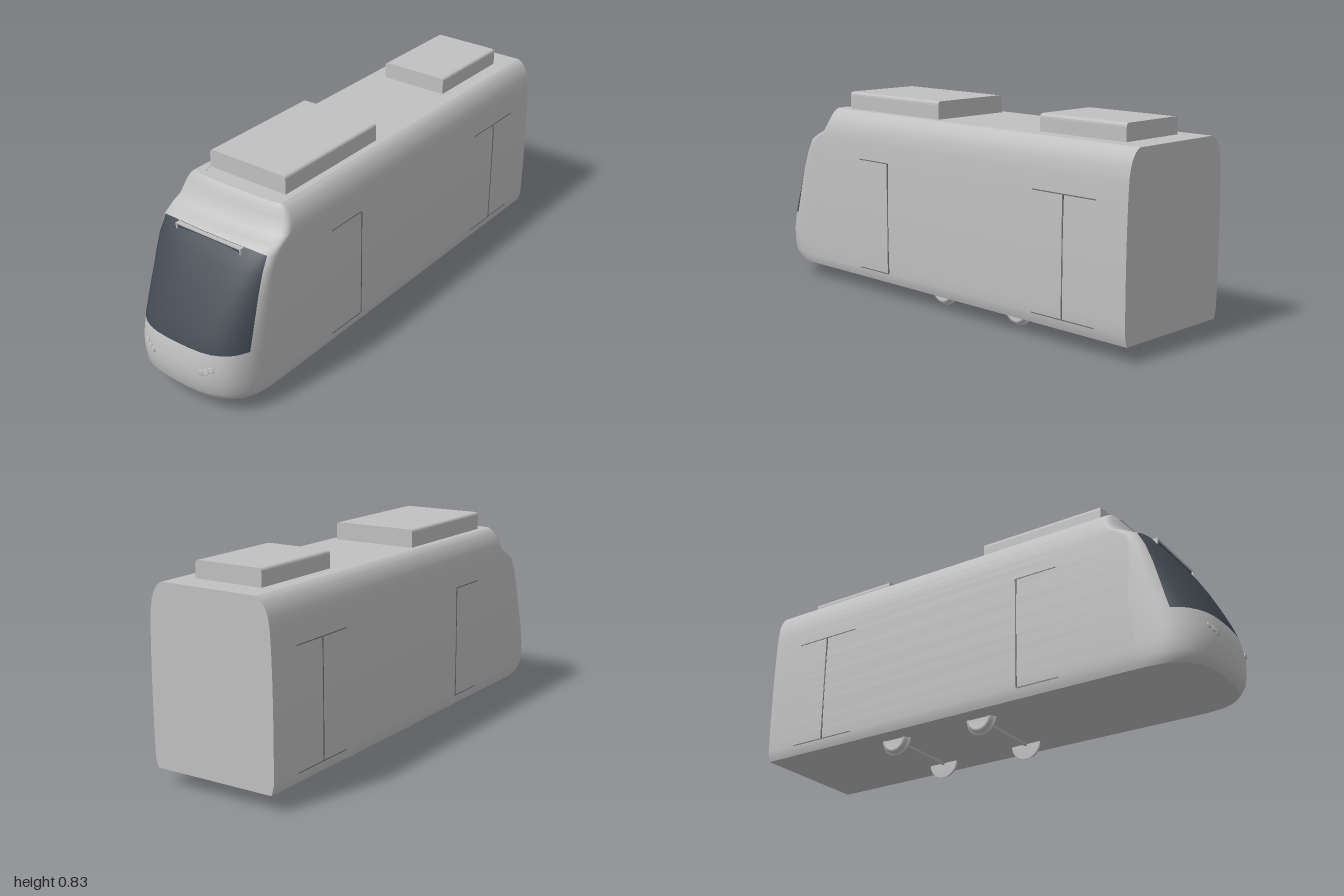
import * as THREE from 'three';

const mat = (name, color, side = THREE.FrontSide) => {
  const m = new THREE.MeshStandardMaterial({ color, side });
  m.name = name;
  return m;
};

// Body profile by height: y, half width, nose z, depth of the nose rounding
const PROFILE = [
  [0.066, 0.256, 0.966, 0.25], [0.08, 0.261, 0.98, 0.255], [0.105, 0.267, 0.994, 0.26],
  [0.15, 0.268, 1.0, 0.26], [0.2, 0.269, 1.0, 0.26], [0.27, 0.27, 0.985, 0.26],
  [0.33, 0.27, 0.96, 0.24], [0.4, 0.27, 0.925, 0.2], [0.48, 0.269, 0.882, 0.15],
  [0.56, 0.267, 0.833, 0.1], [0.63, 0.264, 0.782, 0.07], [0.642, 0.263, 0.745, 0.065],
  [0.66, 0.261, 0.705, 0.06], [0.69, 0.256, 0.683, 0.055], [0.715, 0.247, 0.672, 0.05],
  [0.737, 0.234, 0.661, 0.04], [0.75, 0.221, 0.652, 0.03], [0.757, 0.207, 0.646, 0.02],
];
const GLASS_LOW = 5, GLASS_HIGH = 10, GLASS_U = 0.93;

function section(y) {
  let i = 1;
  while (i < PROFILE.length - 1 && PROFILE[i][0] < y) i++;
  const a = PROFILE[i - 1], b = PROFILE[i];
  const t = THREE.MathUtils.clamp((y - a[0]) / (b[0] - a[0]), 0, 1);
  return [1, 2, 3].map(k => a[k] + (b[k] - a[k]) * t);
}

// Point on the rounded nose, u runs from -1 (right side) to 1 (left side)
function nosePoint(u, y) {
  const [w, f, d] = section(y);
  return new THREE.Vector3(u * w, y, f - d + d * Math.cbrt(Math.max(0, 1 - Math.abs(u) ** 3)));
}

function meshData(points, index) {
  const g = new THREE.BufferGeometry().setFromPoints(points);
  g.setIndex(index);
  g.computeVertexNormals();
  return g;
}

// Flat cap over a convex loop
function cap(loop) {
  const index = [];
  for (let i = 1; i < loop.length - 1; i++) index.push(0, i, i + 1);
  return meshData(loop, index);
}

export function createModel() {
  const model = new THREE.Group();
  model.name = 'tram';
  const paint = mat('bodyGrey', 0xc0c0c0);
  const glass = mat('darkGlass', 0x434a52);
  const seam = mat('seamGrey', 0x707070);

  const add = (name, geometry, material, x = 0, y = 0, z = 0, parent = model) => {
    const m = new THREE.Mesh(geometry, material);
    m.name = name;
    m.position.set(x, y, z);
    parent.add(m);
    return m;
  };
  const box = (name, w, h, d, material, x, y, z) =>
    add(name, new THREE.BoxGeometry(w, h, d), material, x, y, z);

  // Body shell: horizontal rings stacked by height, windscreen as a face group
  const half = [0.2, 0.4, 0.55, 0.68, 0.78, 0.86, GLASS_U, 0.965, 0.985, 0.997, 1];
  const us = [...half.map(u => -u).reverse(), 0, ...half];
  const rings = PROFILE.map(([y0], i) => {
    const bow = i === GLASS_LOW ? 0.008 : i === GLASS_HIGH ? -0.02 : 0;
    const ring = us.map(u => nosePoint(u, y0 + bow * u ** 6));
    const first = ring[0].clone().setZ(-1), last = ring[ring.length - 1].clone().setZ(-1);
    return [first, ...ring, last];
  });
  const n = rings[0].length, shell = [], screen = [];
  for (let i = 0; i < rings.length - 1; i++) {
    for (let j = 0; j < n - 1; j++) {
      const inGlass = i >= GLASS_LOW && i < GLASS_HIGH && j > 0 && j < n - 2 &&
        Math.max(Math.abs(us[j - 1]), Math.abs(us[j])) <= GLASS_U;
      const a = i * n + j, b = a + 1, c = b + n, d = a + n;
      (inGlass ? screen : shell).push(a, b, c, a, c, d);
    }
  }
  const bodyGeo = meshData(rings.flat(), [...shell, ...screen]);
  bodyGeo.addGroup(0, shell.length, 0);
  bodyGeo.addGroup(shell.length, screen.length, 1);
  add('bodyAndWindscreen', bodyGeo, [paint, glass]);
  add('roof', cap(rings[rings.length - 1]), paint);
  add('floor', cap([...rings[0]].reverse()), paint);
  add('rearWall', cap([...rings.map(r => r[0]), ...rings.map(r => r[n - 1]).reverse()]), paint);

  // Roof equipment boxes with rounded long edges
  const roofBox = (name, w, top, zBack, zFront) => {
    const y = 0.755, r = 0.015;
    const s = new THREE.Shape();
    s.moveTo(-w, y);
    s.lineTo(w, y);
    s.lineTo(w, top - r);
    s.quadraticCurveTo(w, top, w - r, top);
    s.lineTo(-w + r, top);
    s.quadraticCurveTo(-w, top, -w, top - r);
    const g = new THREE.ExtrudeGeometry(s, { depth: zFront - zBack, bevelEnabled: false, curveSegments: 4 });
    add(name, g, paint, 0, 0, zBack);
  };
  roofBox('frontRoofUnit', 0.18, 0.829, 0.03, 0.575);
  roofBox('rearRoofUnit', 0.146, 0.824, -0.89, -0.485);

  // Low fairing under the front roof unit: z, half width, height
  const fairing = [[0.65, 0.15, 0.001], [0.625, 0.165, 0.014], [0.58, 0.18, 0.03],
    [0.5, 0.2, 0.034], [0.42, 0.205, 0.025], [0.38, 0.2, 0.014], [0.345, 0.185, 0.001]];
  const arc = 16, fPoints = [], fIndex = [];
  fairing.forEach(([z, w, h], i) => {
    for (let j = 0; j <= arc; j++) {
      const a = Math.PI * j / arc, c = Math.cos(a);
      fPoints.push(new THREE.Vector3(w * Math.sign(c) * Math.abs(c) ** 0.7, 0.756 + h * Math.sin(a), z));
      if (i && j) {
        const q = i * (arc + 1) + j, p = q - arc - 1;
        fIndex.push(p - 1, q - 1, q, p - 1, q, p);
      }
    }
  });
  // Sections run backwards, so flip the winding to face outwards
  for (let k = 0; k < fIndex.length; k += 3) [fIndex[k + 1], fIndex[k + 2]] = [fIndex[k + 2], fIndex[k + 1]];
  add('roofFairing', meshData(fPoints, fIndex), paint);

  // Destination display: recessed plate with a thin frame
  box('displayPlate', 0.3, 0.022, 0.008, glass, 0, 0.615, 0.789);
  box('displayFrameTop', 0.312, 0.005, 0.03, paint, 0, 0.626, 0.784);
  for (const s of [-1, 1]) box('displayFrameSide', 0.005, 0.022, 0.03, paint, s * 0.1535, 0.615, 0.784);

  // Headlights: three small ringed lamps on each side, following the nose surface
  for (const s of [-1, 1]) {
    for (const [x, y] of [[0.118, 0.195], [0.137, 0.203], [0.156, 0.213]]) {
      const at = (px, py) => nosePoint(px / section(py)[0], py);
      const p = at(s * x, y);
      const normal = at(s * x + 0.005, y).sub(p).cross(at(s * x, y + 0.005).sub(p)).normalize();
      const lamp = new THREE.Group();
      lamp.name = 'headlight';
      lamp.position.copy(p);
      lamp.lookAt(p.clone().add(normal));
      const lens = new THREE.CylinderGeometry(0.009, 0.009, 0.012, 20).rotateX(Math.PI / 2);
      add('lens', lens, paint, 0, 0, 0, lamp);
      add('lampRing', new THREE.TorusGeometry(0.0095, 0.003, 8, 20), paint, 0, 0, 0.003, lamp);
      model.add(lamp);
    }
  }

  // Door seams on both sides: one leaf edge in front, a double door at the rear
  for (const s of [-1, 1]) {
    for (const [z0, z1, zSeam] of [[0.24, 0.42, 0.24], [-0.86, -0.56, -0.71]]) {
      const strip = (name, h, d, y, z) => box(name, 0.006, h, d, seam, s * (section(y)[0] - 0.002), y, z);
      strip('doorTopSeam', 0.004, z1 - z0, 0.566, (z0 + z1) / 2);
      strip('doorBottomSeam', 0.004, z1 - z0, 0.107, (z0 + z1) / 2);
      strip('doorSeam', 0.456, 0.005, 0.338, zSeam);
    }
  }

  // Bogie: two axles with flanged wheels
  const wheelProfile = [[0, 0], [0.066, 0], [0.068, 0.004], [0.066, 0.008], [0.058, 0.011],
    [0.056, 0.026], [0.045, 0.028], [0.042, 0.023], [0, 0.023]].map(p => new THREE.Vector2(...p));
  for (const z of [0.012, -0.398]) {
    add('axle', new THREE.CylinderGeometry(0.008, 0.008, 0.32, 12).rotateZ(Math.PI / 2), paint, 0, 0.066, z);
    for (const s of [-1, 1]) {
      const wheel = add('wheel', new THREE.LatheGeometry(wheelProfile, 40), paint, s * 0.157, 0.07, z);
      wheel.rotation.z = -s * Math.PI / 2;
    }
  }
  return model;
}
